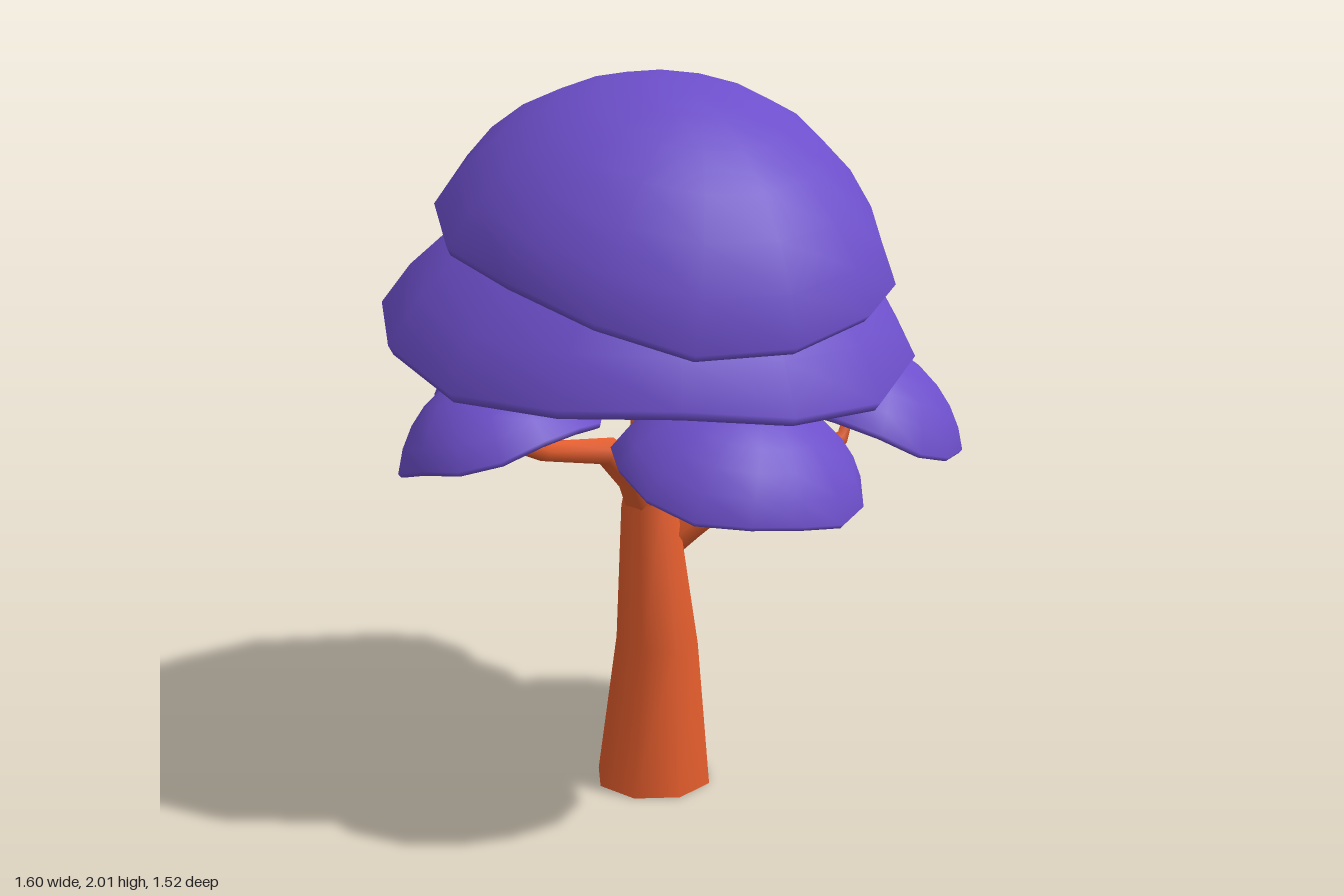
import * as THREE from 'three';
import { mergeVertices } from 'three/addons/utils/BufferGeometryUtils.js';

const foliage = new THREE.MeshStandardMaterial({ color: 0x6d4fcb });
foliage.name = 'violet foliage';
const bark = new THREE.MeshStandardMaterial({ color: 0xe25c2c, side: THREE.DoubleSide });
bark.name = 'orange bark';

// Smooth tapered open limb; each section is [x, y, z, radius]
function limb(name, sections, sides) {
  const up = new THREE.Vector3(0, 1, 0);
  const pts = sections.map(([x, y, z]) => new THREE.Vector3(x, y, z));
  const pos = [], idx = [];
  const last = pts.length - 1;
  pts.forEach((p, i) => {
    const dir = pts[Math.min(i + 1, last)].clone().sub(pts[Math.max(i - 1, 0)]).normalize();
    if (p.y === 0) dir.copy(up);
    const turn = new THREE.Quaternion().setFromUnitVectors(up, dir);
    for (let k = 0; k < sides; k++) {
      const a = ((k + 0.5) / sides) * Math.PI * 2;
      const v = new THREE.Vector3(Math.sin(a), 0, Math.cos(a));
      v.multiplyScalar(sections[i][3]).applyQuaternion(turn).add(p);
      pos.push(v.x, v.y, v.z);
      if (i < last) {
        const n = (k + 1) % sides, b = i * sides;
        idx.push(b + k, b + n, b + sides + n, b + k, b + sides + n, b + sides + k);
      }
    }
  });
  const g = new THREE.BufferGeometry();
  g.setAttribute('position', new THREE.Float32BufferAttribute(pos, 3));
  g.setIndex(idx);
  g.computeVertexNormals();
  const mesh = new THREE.Mesh(g, bark);
  mesh.name = name;
  return mesh;
}

// Leaf cap: part of a sphere with a rounded lip and hollow underside;
// slope is the rise of its rim along x and z
function leafCap({ name, at, size, slope, seed }) {
  const profile = [[0, 0.08], [0.5, 0.05], [0.84, -0.03], [0.92, -0.075], [0.98, -0.06]];
  const start = 0.42, steps = 6;
  for (let i = 0; i <= steps; i++) {
    const a = start + (i / steps) * (Math.PI / 2 - start);
    const r = i === steps ? 0 : Math.cos(a) / Math.cos(start);
    profile.push([r, (Math.sin(a) - Math.sin(start)) / (1 - Math.sin(start))]);
  }
  let g = new THREE.LatheGeometry(profile.map(([r, y]) => new THREE.Vector2(r, y)), 15);
  g.deleteAttribute('uv');
  g.deleteAttribute('normal');
  g = mergeVertices(g, 1e-4);
  // Uneven rim
  const p = g.attributes.position;
  for (let i = 0; i < p.count; i++) {
    const x = p.getX(i), y = p.getY(i), z = p.getZ(i);
    const r = Math.hypot(x, z), a = Math.atan2(z, x);
    const k = 1 + 0.015 * r * Math.sin(3 * a + seed);
    const wave = 0.06 * r * r * Math.sin(4 * a + seed * 2) * (1 - Math.max(y, 0));
    p.setXYZ(i, x * k, y + wave, z * k);
  }
  g.scale(...size);
  const normal = new THREE.Vector3(-slope[0], 1, -slope[1]).normalize();
  g.applyQuaternion(new THREE.Quaternion().setFromUnitVectors(new THREE.Vector3(0, 1, 0), normal));
  g.computeVertexNormals();
  const mesh = new THREE.Mesh(g, foliage);
  mesh.name = name;
  mesh.position.set(...at);
  return mesh;
}

export function createModel() {
  const tree = new THREE.Group();
  tree.name = 'tree';

  // Trunk and branches
  tree.add(
    limb('trunk', [[0.038, 0, 0.008, 0.168], [0.054, 0.42, 0.012, 0.121], [0.01, 0.8, -0.005, 0.083], [0.02, 0.9, 0, 0.065]], 8),
    limb('topBranch', [[0.02, 0.8, -0.01, 0.07], [0.07, 0.92, -0.03, 0.06], [0.155, 1.08, -0.07, 0.055], [0.15, 1.4, -0.05, 0.045]], 7),
    limb('rightBranch', [[-0.01, 0.76, -0.02, 0.06], [-0.07, 0.9, -0.07, 0.042], [-0.16, 1.01, -0.17, 0.036], [-0.26, 1.03, -0.17, 0.03], [-0.34, 1.12, -0.18, 0.022]], 6),
    limb('frontBranch', [[0.01, 0.8, 0.0, 0.06], [0.03, 0.91, 0.08, 0.052], [0.0, 0.99, 0.16, 0.042], [-0.04, 1.02, 0.36, 0.03], [-0.05, 1.08, 0.53, 0.015]], 6),
    limb('leftBranch', [[0.03, 0.84, 0.01, 0.04], [0.14, 0.89, 0.06, 0.044], [0.26, 0.925, 0.1, 0.036], [0.38, 1.0, 0.15, 0.024], [0.44, 1.05, 0.19, 0.016]], 6),
    limb('backBranch', [[0.04, 0.67, -0.03, 0.04], [0.1, 0.75, -0.08, 0.048], [0.23, 0.88, -0.2, 0.036], [0.37, 0.98, -0.42, 0.022], [0.38, 1.06, -0.44, 0.016]], 6)
  );

  // Foliage
  const caps = [
    { name: 'topFoliage', at: [0.165, 1.6, 0.092], size: [0.61, 0.39, 0.605], slope: [-0.34, -0.15], seed: 1 },
    { name: 'middleFoliage', at: [0.03, 1.32, 0.03], size: [0.72, 0.43, 0.72], slope: [-0.14, -0.06], seed: 2.4 },
    { name: 'rightFoliage', at: [-0.355, 1.1, -0.165], size: [0.45, 0.31, 0.5], slope: [0.13, 0.02], seed: 4 },
    { name: 'frontFoliage', at: [-0.085, 1.06, 0.475], size: [0.27, 0.2, 0.29], slope: [0.25, -0.12], seed: 0.5 },
    { name: 'leftFoliage', at: [0.485, 1.03, 0.2], size: [0.32, 0.21, 0.345], slope: [-0.28, 0], seed: 3 },
    { name: 'backFoliage', at: [0.38, 1.05, -0.455], size: [0.325, 0.21, 0.32], slope: [-0.24, 0.28], seed: 5.2 },
  ];
  caps.forEach((c) => tree.add(leafCap(c)));
  return tree;
}
